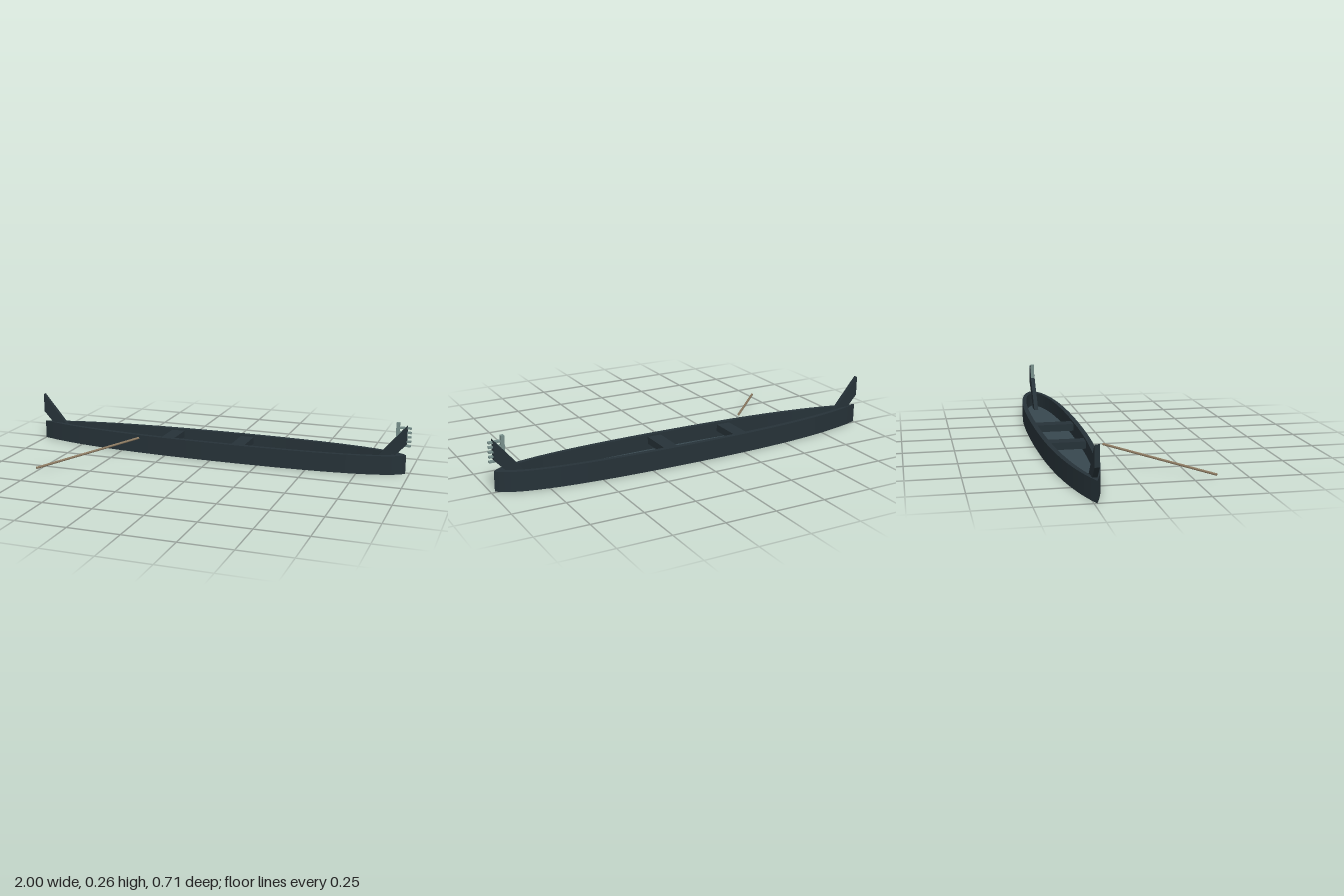
import * as THREE from 'three';

const CENTER_Z = -0.237;
const HULL_H = 0.095;
const FLOOR_Y = 0.02;

const paint = (color) => new THREE.MeshStandardMaterial({ color });
const dark = paint(0x263238);
const floorMat = paint(0x37474f);
const metal = paint(0x78908c);
const wood = paint(0x8d7b62);

// Leaf-shaped plan outline, widest a little towards the bow
function outline(Type, x0, x1, w) {
  const s = new Type();
  const m = 0.1;
  s.moveTo(x0, 0);
  s.bezierCurveTo(x0 + 0.28, -w * 0.85, x0 + 0.7, -w, m, -w);
  s.bezierCurveTo(m + 0.48, -w, x1 - 0.06, -w * 0.7, x1, 0);
  s.bezierCurveTo(x1 - 0.06, w * 0.7, m + 0.48, w, m, w);
  s.bezierCurveTo(x0 + 0.7, w, x0 + 0.28, w * 0.85, x0, 0);
  return s;
}

// Extrudes a plan shape upwards from y
function slab(shape, y, height) {
  const g = new THREE.ExtrudeGeometry(shape, { depth: height, bevelEnabled: false, curveSegments: 16 });
  g.rotateX(-Math.PI / 2);
  g.translate(0, y, 0);
  return g;
}

// Extrudes a side profile, centred on the keel line
function sideProfile(points, width) {
  const shape = new THREE.Shape(points.map(([x, y]) => new THREE.Vector2(x, y)));
  const g = new THREE.ExtrudeGeometry(shape, { depth: width, bevelEnabled: false });
  g.translate(0, 0, -width / 2);
  return g;
}

export function createModel() {
  const model = new THREE.Group();
  model.name = 'boat';
  const boat = new THREE.Group();
  boat.name = 'boatBody';
  boat.position.z = CENTER_Z;
  model.add(boat);

  const add = (parent, name, geometry, material, x = 0, y = 0, z = 0) => {
    const mesh = new THREE.Mesh(geometry, material);
    mesh.name = name;
    mesh.position.set(x, y, z);
    parent.add(mesh);
    return mesh;
  };

  // Hull: bottom plate, walls and inner floor
  add(boat, 'bottom', slab(outline(THREE.Shape, -1, 0.98, 0.118), 0, FLOOR_Y - 0.003), dark);
  const wall = outline(THREE.Shape, -1, 0.98, 0.118);
  wall.holes.push(outline(THREE.Path, -0.94, 0.93, 0.094));
  add(boat, 'hullWall', slab(wall, FLOOR_Y - 0.003, HULL_H - FLOOR_Y + 0.003), dark);
  add(boat, 'floor', slab(outline(THREE.Shape, -0.945, 0.935, 0.096), FLOOR_Y - 0.003, 0.003), floorMat);

  // Seats
  for (const x of [-0.25, 0.135]) {
    add(boat, 'seat', new THREE.BoxGeometry(0.07, 0.035, 0.2), dark, x, 0.068);
  }

  // Raking posts at both ends
  const post = [[0.79, FLOOR_Y], [0.86, FLOOR_Y], [0.98, 0.15], [0.98, 0.247]];
  add(boat, 'bowPost', sideProfile(post, 0.022), dark);
  const stern = post.map(([x, y]) => [-x - 0.02, y]).reverse();
  add(boat, 'sternPost', sideProfile(stern, 0.022), dark);

  // Metal comb on the bow
  const comb = new THREE.Group();
  comb.name = 'bowComb';
  boat.add(comb);
  add(comb, 'combBar', new THREE.BoxGeometry(0.016, 0.118, 0.018), metal, 0.934, 0.199);
  for (let i = 0; i < 5; i++) {
    add(comb, 'combTooth', new THREE.BoxGeometry(0.07, 0.008, 0.018), metal, 0.965, 0.143 + i * 0.0223);
  }

  // Oar lying off to the side
  const a = new THREE.Vector3(-0.745, 0.02, 0.35);
  const b = new THREE.Vector3(-0.38, 0.093, -0.088);
  const dir = b.clone().sub(a);
  const oar = add(model, 'oar', new THREE.CylinderGeometry(0.006, 0.006, dir.length(), 8), wood);
  oar.position.copy(a).lerp(b, 0.5);
  oar.quaternion.setFromUnitVectors(new THREE.Vector3(0, 1, 0), dir.normalize());

  return model;
}
